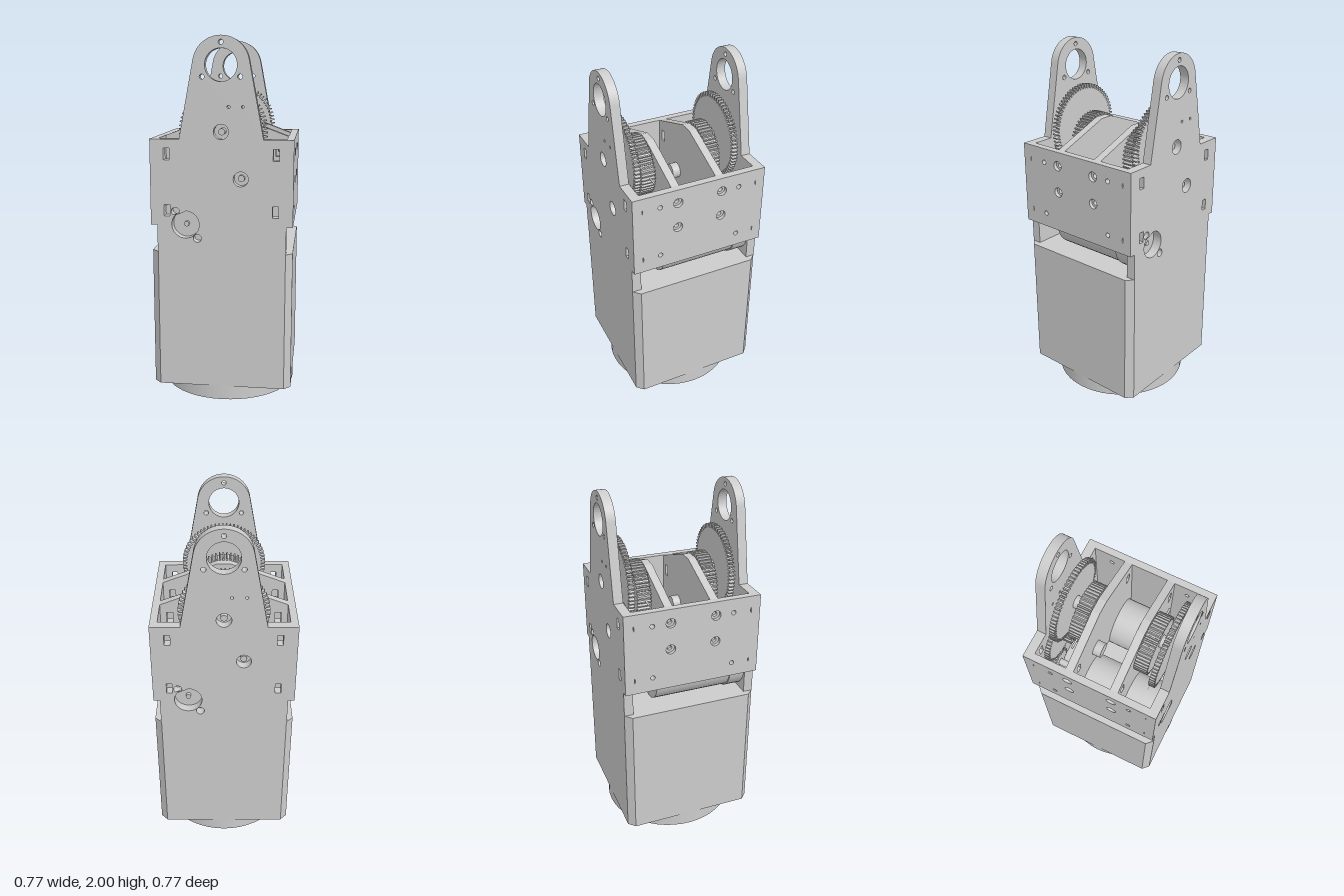
import * as THREE from 'three';

const grey = new THREE.MeshStandardMaterial({ color: 0xcccccc, flatShading: true });
const smooth = new THREE.MeshStandardMaterial({ color: 0xcccccc });

function mesh(name, geometry, material = grey) {
  const m = new THREE.Mesh(geometry, material);
  m.name = name;
  return m;
}

function polygon(points) {
  return new THREE.Shape(points.map(([x, y]) => new THREE.Vector2(x, y)));
}

function roundHole(shape, x, y, r) {
  shape.holes.push(new THREE.Path().absarc(x, y, r, 0, Math.PI * 2, true));
}

function slotHole(shape, x, y, w, h) {
  shape.holes.push(new THREE.Path([[-1, -1], [-1, 1], [1, 1], [1, -1]].map(
    ([sx, sy]) => new THREE.Vector2(x + sx * w / 2, y + sy * h / 2))));
}

// Extrude a shape in x-y between two z positions
function slab(name, shape, z0, z1) {
  const g = new THREE.ExtrudeGeometry(shape, { depth: z1 - z0, bevelEnabled: false, curveSegments: 20 });
  return mesh(name, g.translate(0, 0, z0));
}

// Cylinder along z between two z positions
function rod(name, x, y, r, z0, z1) {
  const g = new THREE.CylinderGeometry(r, r, z1 - z0, 32).rotateX(Math.PI / 2);
  return mesh(name, g.translate(x, y, (z0 + z1) / 2), smooth);
}

// Spur gear facing z
function gear(name, x, y, r, depth, teeth, z0, z1) {
  const points = [];
  for (let i = 0; i < teeth; i++) {
    [[0, r - depth], [0.4, r - depth], [0.55, r], [0.85, r]].forEach(([f, rad]) => {
      const a = (i + f) / teeth * Math.PI * 2;
      points.push([x + Math.cos(a) * rad, y + Math.sin(a) * rad]);
    });
  }
  return slab(name, polygon(points), z0, z1);
}

// Outer plate with the tapered lug on top
function facePlate() {
  const s = new THREE.Shape();
  s.moveTo(-0.35, 0.85);
  [[0.35, 0.85], [0.35, 1], [0.385, 1], [0.385, 1.465], [0.225, 1.465]].forEach((p) => s.lineTo(...p));
  s.absarc(0, 1.85, 0.15, 0.187, Math.PI - 0.187, false);
  [[-0.225, 1.465], [-0.385, 1.465], [-0.385, 1], [-0.35, 1]].forEach((p) => s.lineTo(...p));
  [[0, 1.85, 0.085], [0, 1.965, 0.013], [-0.1, 1.79, 0.013], [0.1, 1.79, 0.013],
    [0.04, 1.635, 0.008], [0.115, 1.635, 0.008], [0, 1.505, 0.04], [0.105, 1.255, 0.04],
    [-0.195, 1.003, 0.075], [-0.13, 0.928, 0.022]].forEach((h) => roundHole(s, ...h));
  [[-0.295, 1.385], [0.292, 1.385], [-0.295, 1.08], [0.292, 1.08]].forEach(([x, y]) => slotHole(s, x, y, 0.032, 0.062));
  roundHole(s, -0.25, 1.075, 0.022);
  return slab('facePlate', s, 0.333, 0.385);
}

// Inner plate with a roof-shaped top edge
function innerPlate() {
  const s = polygon([[-0.345, 1], [0.345, 1], [0.345, 1.465], [0.04, 1.58], [-0.04, 1.58], [-0.345, 1.465]]);
  [-0.293, 0.293].forEach((x) => slotHole(s, x, 1.385, 0.034, 0.064));
  return slab('innerPlate', s, 0.106, 0.151);
}

// Side wall with counterbored screw holes, made as two layers
function sideWall() {
  const group = new THREE.Group();
  group.name = 'sideWall';
  const screws = [[0.355, 1.385], [0.128, 1.385], [0.128, 1.232], [0.355, 1.08]];
  const pins = [[0.23, 1.385], [0.23, 1.08]];
  [[0.345, 0.365, 0.013], [0.365, 0.385, 0.027]].forEach(([x0, x1, r]) => {
    const s = polygon([[-0.385, 1], [0.385, 1], [0.385, 1.465], [-0.385, 1.465]]);
    [-1, 1].forEach((side) => {
      screws.forEach(([z, y]) => roundHole(s, side * z, y, r));
      pins.forEach(([z, y]) => roundHole(s, side * z, y, 0.013));
    });
    const layer = slab('wallLayer', s, x0, x1);
    layer.geometry.rotateY(Math.PI / 2);
    // the rotation turns the extrusion from z towards +x
    group.add(layer);
  });
  return group;
}

// Everything that repeats when turned half way round the vertical axis
function halfMechanism(name) {
  const half = new THREE.Group();
  half.name = name;
  half.add(facePlate(), innerPlate(), sideWall());

  // Motor with a wider end cap
  half.add(
    rod('motorBody', -0.195, 1, 0.143, -0.19, 0.245),
    rod('motorCap', -0.195, 1, 0.15, 0.245, 0.331),
    rod('motorPin', -0.195, 1, 0.014, 0.33, 0.35),
    rod('motorShaft', -0.195, 1, 0.02, -0.33, -0.19),
    gear('motorPinion', 0.195, 1, 0.085, 0.015, 24, 0.305, 0.331),
  );

  // Gear train
  half.add(
    gear('outputGear', 0, 1.503, 0.24, 0.024, 68, 0.27, 0.301),
    gear('reductionGear', 0.105, 1.255, 0.18, 0.018, 52, 0.305, 0.331),
    gear('smallPinion', 0.105, 1.255, 0.043, 0.012, 14, 0.242, 0.304),
    gear('wideGear', -0.003, 1.426, 0.17, 0.016, 48, 0.155, 0.232),
    rod('outputHub', 0, 1.5, 0.036, 0.23, 0.271),
    rod('outputShaft', 0, 1.503, 0.018, 0.15, 0.36),
    rod('reductionShaft', 0.105, 1.255, 0.018, 0.06, 0.36),
    rod('bearingBoss', 0.105, 1.255, 0.044, 0.06, 0.107),
  );

  // Set screw beside the wide gear
  const screw = new THREE.CylinderGeometry(0.006, 0.006, 0.07, 12).rotateZ(Math.PI / 2);
  half.add(mesh('setScrew', screw.translate(0.185, 1.42, 0.184), smooth));
  return half;
}

export function createModel() {
  const model = new THREE.Group();
  model.name = 'gearedDriveUnit';

  // Lower housing with chamfered corners, on a round foot
  const a = 0.385, b = 0.348;
  const outline = polygon([[b, -a], [a, -b], [a, b], [b, a], [-b, a], [-a, b], [-a, -b], [-b, -a]]);
  const housing = slab('lowerHousing', outline, 0.08, 0.85);
  housing.geometry.rotateX(-Math.PI / 2);
  const foot = mesh('roundFoot', new THREE.CylinderGeometry(a, a, 0.08, 48).translate(0, 0.04, 0), smooth);
  model.add(housing, foot);

  const front = halfMechanism('frontHalf');
  const back = halfMechanism('backHalf');
  back.rotation.y = Math.PI;
  model.add(front, back);
  return model;
}
